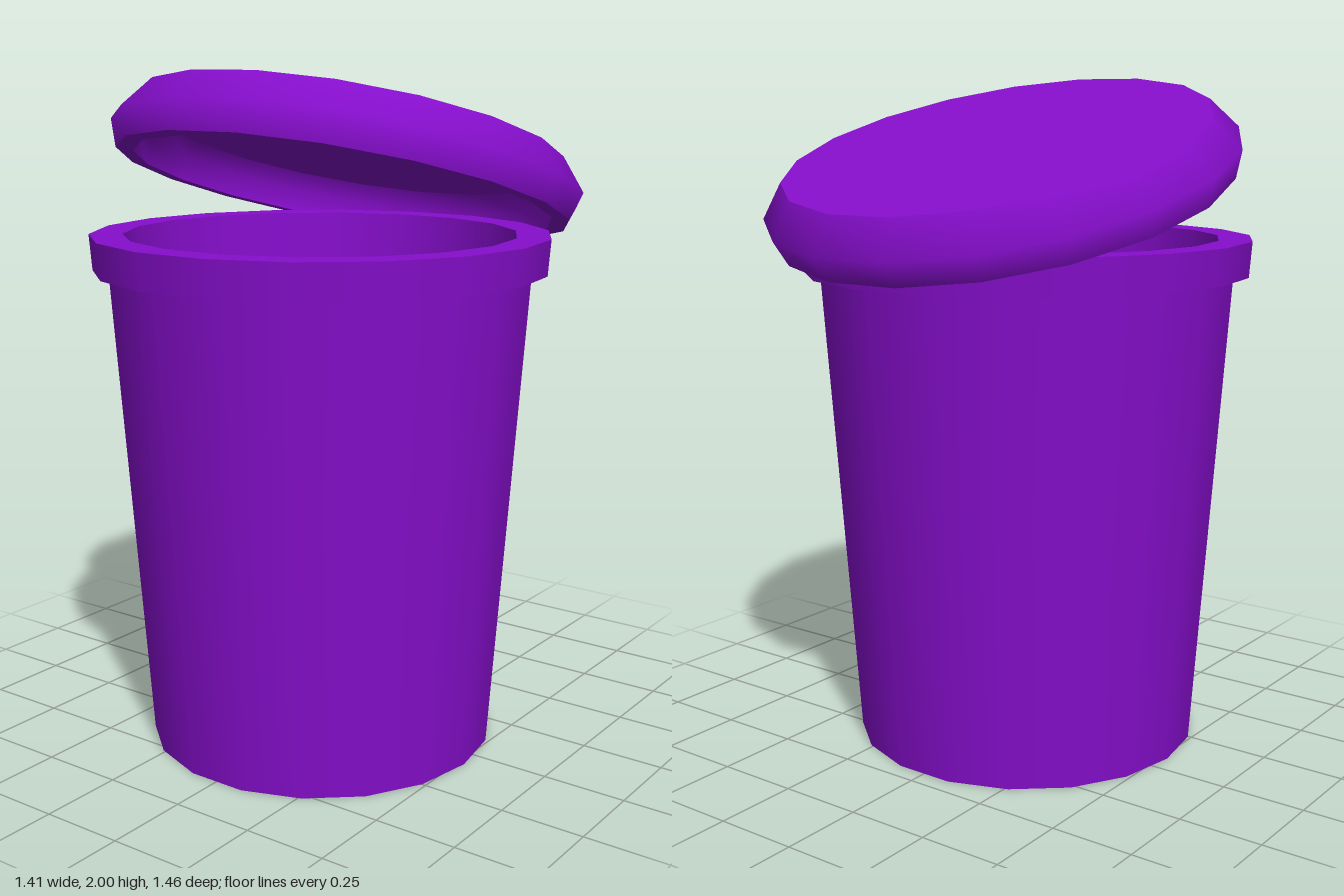
import * as THREE from 'three';
import { mergeGeometries } from 'three/addons/utils/BufferGeometryUtils.js';

const SIDES = 18;
const purple = new THREE.MeshStandardMaterial({ color: 0x850ecb });
purple.name = 'purple plastic';

// Turned part: each strip is smooth in itself, with a crisp edge where strips meet
function turned(name, strips) {
  const parts = strips.map((strip) => new THREE.LatheGeometry(
    strip.map(([r, y]) => new THREE.Vector2(r, y)), SIDES, Math.PI / SIDES));
  const mesh = new THREE.Mesh(mergeGeometries(parts), purple);
  mesh.name = name;
  return mesh;
}

export function createModel() {
  const model = new THREE.Group();
  model.name = 'bin';

  // Tapered bucket: base and outer wall
  const body = turned('body', [
    [[0, 0], [0.52, 0]],
    [[0.52, 0], [0.62, 1.43]],
  ]);

  // Overhanging rim: underside, band and top ring
  const rim = turned('rim', [
    [[0.62, 1.43], [0.665, 1.43]],
    [[0.665, 1.43], [0.673, 1.535]],
    [[0.673, 1.535], [0.575, 1.535]],
  ]);

  // Hollow inside: wall and floor
  const inside = turned('inside', [
    [[0.575, 1.535], [0.48, 0.06]],
    [[0.48, 0.06], [0, 0.06]],
  ]);

  const bucket = new THREE.Group();
  bucket.name = 'bucket';
  bucket.add(body, rim, inside);
  bucket.position.z = 0.07;

  // Lid tipped back: ceiling, inner wall, lower lip, rounded edge, flat top
  const lid = turned('lid', [
    [[0, 0.12], [0.58, 0.12]],
    [[0.58, 0.12], [0.625, 0.07], [0.625, 0]],
    [[0.625, 0], [0.675, 0]],
    [[0.675, 0], [0.703, 0.08], [0.63, 0.176]],
    [[0.63, 0.176], [0, 0.176]],
  ]);
  lid.position.set(0, 1.651, -0.037);
  lid.rotation.x = THREE.MathUtils.degToRad(-17);

  model.add(bucket, lid);
  return model;
}
